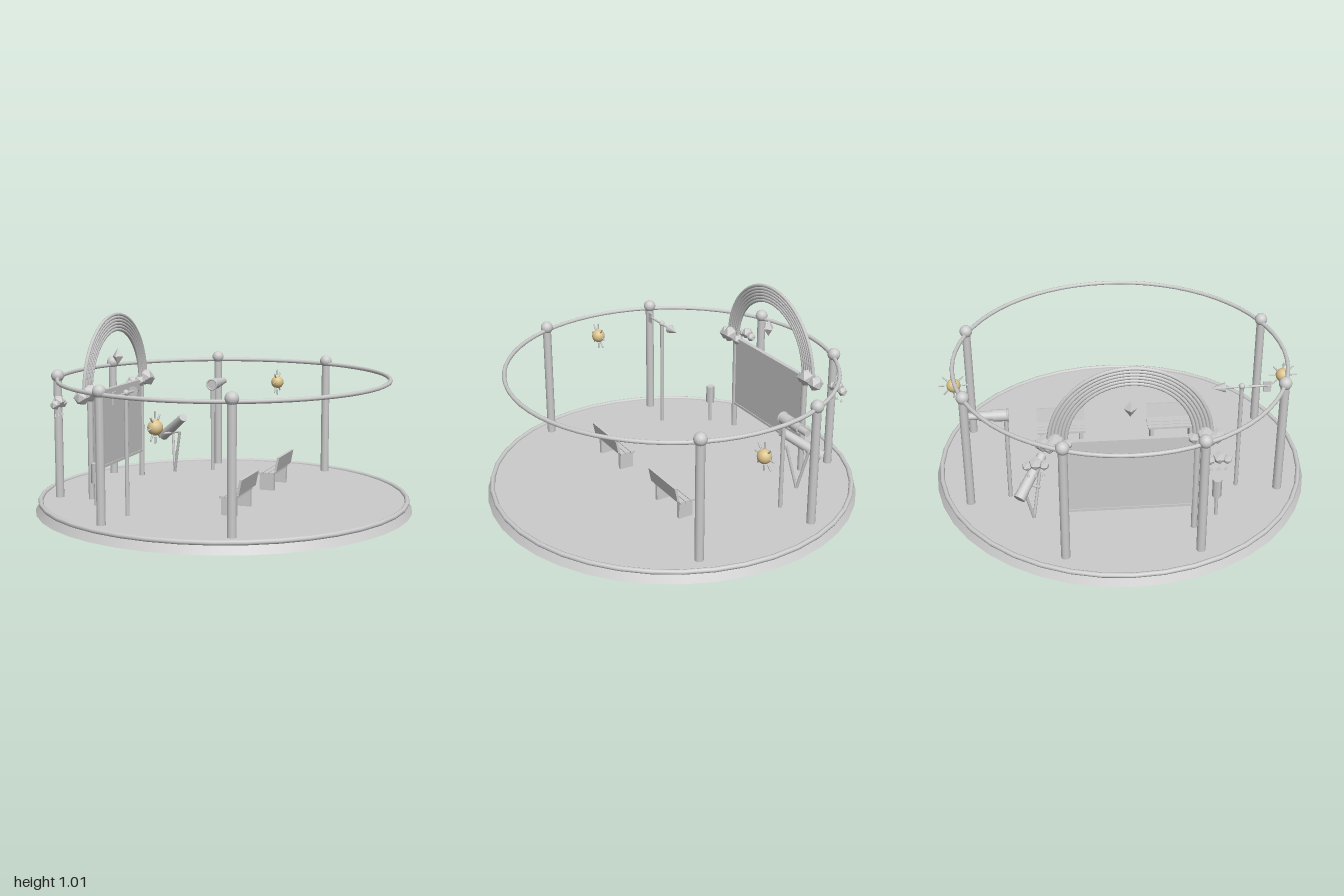
import * as THREE from 'three';

const grey = new THREE.MeshStandardMaterial({ color: 0xcccccc });
grey.name = 'lightGrey';
const greyFlat = new THREE.MeshStandardMaterial({ color: 0xcccccc, flatShading: true });
greyFlat.name = 'lightGreyFaceted';
const gold = new THREE.MeshStandardMaterial({ color: 0xdcc48c });
gold.name = 'paleGold';

const TURN = 0.174; // shared heading of the furniture

function add(parent, name, geometry, material, x = 0, y = 0, z = 0) {
  const mesh = new THREE.Mesh(geometry, material);
  mesh.name = name;
  mesh.position.set(x, y, z);
  parent.add(mesh);
  return mesh;
}

function group(parent, name, x, y, z, turn = TURN) {
  const g = new THREE.Group();
  g.name = name;
  g.position.set(x, y, z);
  g.rotation.y = turn;
  parent.add(g);
  return g;
}

// Cylinder between two points
function rod(parent, name, a, b, rA, rB = rA, sides = 8) {
  const p = new THREE.Vector3(...a), q = new THREE.Vector3(...b);
  const d = q.clone().sub(p);
  const mesh = add(parent, name, new THREE.CylinderGeometry(rB, rA, d.length(), sides), grey);
  mesh.position.copy(p).add(q).multiplyScalar(0.5);
  mesh.quaternion.setFromUnitVectors(new THREE.Vector3(0, 1, 0), d.normalize());
  return mesh;
}

function flatRing(parent, name, radius, tube, y, segments) {
  add(parent, name, new THREE.TorusGeometry(radius, tube, 8, segments), grey, 0, y, 0).rotation.x = Math.PI / 2;
}

// Faceted blobs given as [x, y, z, radius]
function blobs(parent, name, list) {
  for (const [x, y, z, r] of list) {
    add(parent, name, new THREE.IcosahedronGeometry(r, 0), greyFlat, x, y, z);
  }
}

function addBench(parent, x, z) {
  const bench = group(parent, 'bench', x, 0, z);
  for (const sx of [-0.042, -0.012, 0.018]) {
    add(bench, 'seatSlat', new THREE.BoxGeometry(0.026, 0.012, 0.265), grey, sx, 0.145, 0);
  }
  add(bench, 'backrest', new THREE.BoxGeometry(0.012, 0.08, 0.265), grey, 0.05, 0.2, 0).rotation.z = -0.2;
  for (const s of [-1, 1]) {
    add(bench, 'benchLeg', new THREE.BoxGeometry(0.08, 0.09, 0.02), grey, -0.01, 0.096, s * 0.11);
  }
}

function addSun(parent, x, z) {
  const sun = group(parent, 'sun', x, 0.555, z);
  add(sun, 'sunBall', new THREE.SphereGeometry(0.037, 16, 12), gold);
  for (let i = 0; i < 8; i++) {
    const a = i * Math.PI / 4, c = Math.cos(a), s = Math.sin(a);
    rod(sun, 'sunRay', [0, s * 0.043, c * 0.043], [0, s * 0.076, c * 0.076], 0.005, 0.004, 6);
  }
}

function addRainCloud(parent, x, z) {
  const cloud = group(parent, 'rainCloud', x, 0.565, z);
  blobs(cloud, 'cloudPuff', [[0, 0.01, 0, 0.034], [0, -0.002, 0.04, 0.026], [0, -0.002, -0.04, 0.026]]);
  for (const s of [-1, 0, 1]) {
    add(cloud, 'raindrop', new THREE.ConeGeometry(0.008, 0.02, 6), grey, 0, -0.055, s * 0.036);
  }
}

function addBoard(parent) {
  const board = group(parent, 'rainbowBoard', -0.615, 0, 0.107);
  add(board, 'panel', new THREE.BoxGeometry(0.016, 0.4, 0.62), grey, 0, 0.4, 0);
  for (const y of [0.2, 0.605]) {
    add(board, 'panelRail', new THREE.BoxGeometry(0.024, 0.014, 0.62), grey, 0, y, 0);
  }
  for (const s of [-1, 1]) {
    rod(board, 'boardPost', [0, 0.05, s * 0.325], [0, 0.62, s * 0.325], 0.016);
    blobs(board, 'rainbowCloudPuff', [
      [0.01, 0.62, s * 0.36, 0.05], [0, 0.605, s * 0.42, 0.042],
      [0, 0.6, s * 0.305, 0.032], [-0.02, 0.6, s * 0.39, 0.036],
    ]);
  }
  // Rainbow of nested half rings
  for (let i = 0; i < 6; i++) {
    add(board, 'rainbowBand', new THREE.TorusGeometry(0.31 + i * 0.0165, 0.0095, 8, 32, Math.PI), grey, 0, 0.61, 0)
      .rotation.y = Math.PI / 2;
  }
  add(board, 'crystal', new THREE.OctahedronGeometry(1, 0), greyFlat, 0.01, 0.775, 0).scale.set(0.032, 0.046, 0.032);
}

export function createModel() {
  const model = new THREE.Group();
  model.name = 'playCarousel';

  // Platform with a rounded rim
  add(model, 'platform', new THREE.CylinderGeometry(0.965, 0.997, 0.052, 40), grey, 0, 0.026, 0);
  flatRing(model, 'platformRim', 0.97, 0.013, 0.052, 40);

  // Top ring on six posts; two of the eight places stay open
  flatRing(model, 'topRing', 0.87, 0.011, 0.685, 64);
  for (let i = 0; i < 6; i++) {
    const a = (77.5 + i * 45) * Math.PI / 180;
    const x = 0.872 * Math.cos(a), z = -0.872 * Math.sin(a);
    rod(model, 'post', [x, 0.05, z], [x, 0.69, z], 0.023, 0.023, 10);
    add(model, 'postBall', new THREE.SphereGeometry(0.034, 16, 12), grey, x, 0.7, z);
  }

  addBoard(model);
  addBench(model, 0.13, -0.34);
  addBench(model, 0.238, 0.265);
  addSun(model, -0.133, -0.862);
  addSun(model, 0.13, 0.855);
  addRainCloud(model, -0.81, -0.325);
  addRainCloud(model, -0.68, 0.535);

  // Tilted tube on a V stand
  const tube = group(model, 'tiltedTube', 0, 0, 0, 0);
  rod(tube, 'tubeBody', [-0.67, 0.25, -0.44], [-0.475, 0.385, -0.35], 0.03, 0.024, 14);
  rod(tube, 'standLeg', [-0.56, 0.05, -0.39], [-0.505, 0.3, -0.36], 0.008);
  rod(tube, 'standLeg', [-0.56, 0.05, -0.39], [-0.6, 0.285, -0.435], 0.008);
  rod(tube, 'standAxle', [-0.57, 0.28, -0.45], [-0.605, 0.28, -0.345], 0.007);

  // Spyglass on a pole, in three steps
  const spy = group(model, 'spyglass', -0.39, 0.56, -0.53);
  rod(spy, 'spyglassPole', [0, -0.51, -0.01], [0, 0, -0.01], 0.011);
  [[0, -0.075, 0.031], [-0.07, -0.145, 0.025], [-0.14, -0.205, 0.018]].forEach(([a, b, r]) => {
    rod(spy, 'spyglassTube', [0, 0, a], [0, 0, b], r, r, 14);
  });
  add(spy, 'spyglassCollar', new THREE.TorusGeometry(0.03, 0.005, 6, 16), grey);

  // Wind vane
  const vane = group(model, 'windVane', -0.185, 0, 0.635);
  rod(vane, 'vanePole', [0, 0.05, 0], [0, 0.67, 0], 0.011);
  add(vane, 'vaneHub', new THREE.SphereGeometry(0.016, 12, 8), grey, 0, 0.668, 0);
  rod(vane, 'vaneShaft', [0, 0.665, -0.1], [0, 0.665, 0.14], 0.006);
  rod(vane, 'vaneTip', [0, 0.665, -0.085], [0, 0.665, -0.16], 0.026, 0, 8);
  add(vane, 'vaneFin', new THREE.BoxGeometry(0.008, 0.06, 0.04), grey, 0, 0.66, 0.13);

  // Hexagonal lantern on a thin stem
  rod(model, 'lanternStem', [-0.45, 0.05, 0.535], [-0.45, 0.18, 0.535], 0.009);
  rod(model, 'lantern', [-0.45, 0.17, 0.535], [-0.45, 0.273, 0.535], 0.024, 0.024, 6);

  return model;
}
